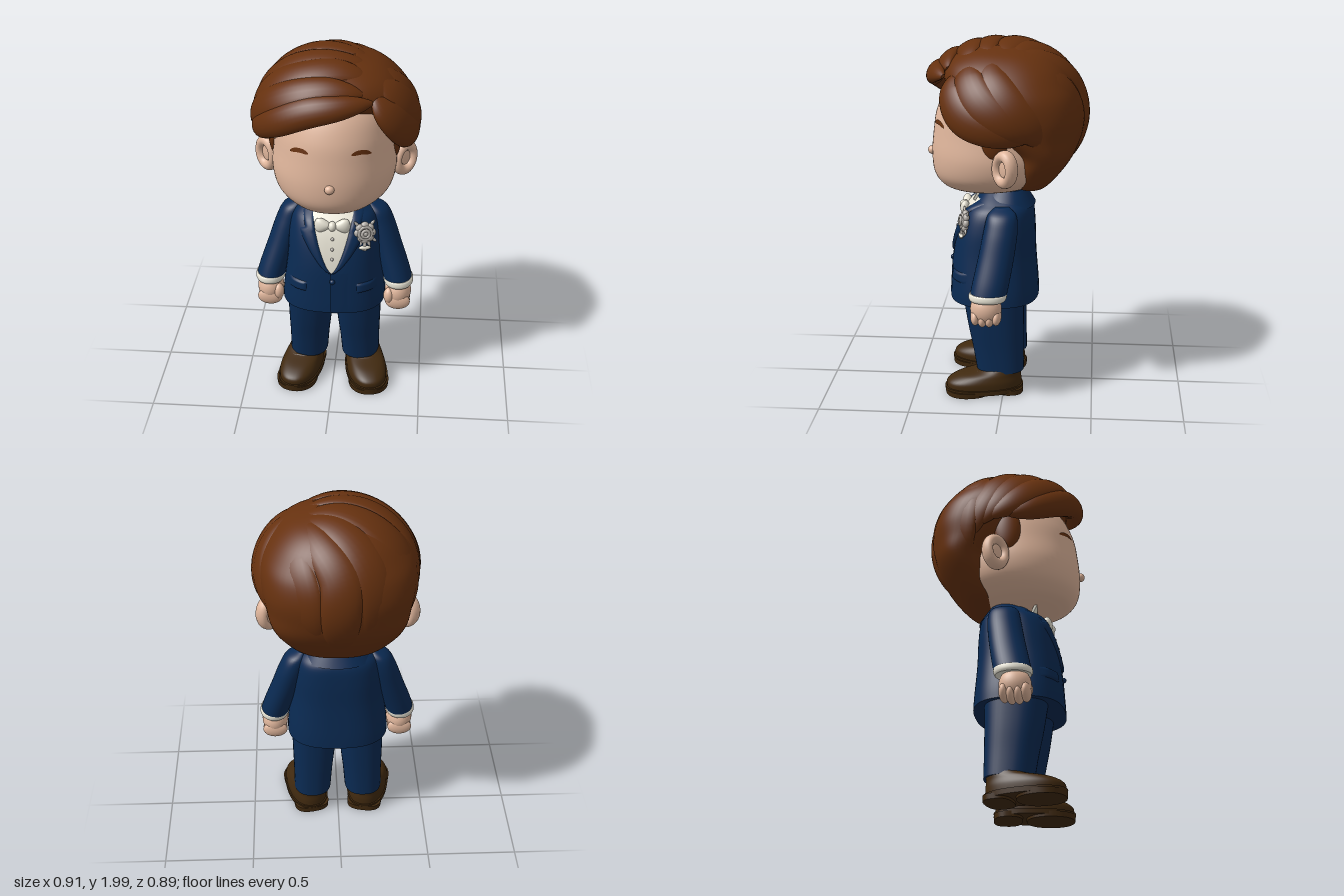
import * as THREE from 'three';

const material = (name, color) => Object.assign(new THREE.MeshStandardMaterial({ color }), { name });
const skin = material('skin', 0xe0b69c);
const hair = material('hair brown', 0x66310f);
const navy = material('suit navy', 0x0a2a52);
const white = material('shirt white', 0xe9e5d6);
const leather = material('shoe leather', 0x40290f);
const silver = material('silver', 0xb3aea8);
const black = material('eye black', 0x0b0b0b);

const V = (x, y, z) => new THREE.Vector3(x, y, z);

// Closed skin over rings of points, with separate caps so hems stay crisp
function skinRings(rings) {
  const n = rings[0].length, pos = [], idx = [];
  rings.forEach(r => r.forEach(p => pos.push(p.x, p.y, p.z)));
  for (let i = 0; i < rings.length - 1; i++) for (let j = 0; j < n; j++) {
    const a = i * n + j, b = i * n + (j + 1) % n, c = a + n, d = b + n;
    idx.push(a, b, c, b, d, c);
  }
  [rings[0], rings[rings.length - 1]].forEach((r, top) => {
    const base = pos.length / 3, mid = V(0, 0, 0);
    r.forEach(p => { pos.push(p.x, p.y, p.z); mid.addScaledVector(p, 1 / n); });
    pos.push(mid.x, mid.y, mid.z);
    for (let j = 0; j < n; j++) {
      const k = base + (j + 1) % n;
      top ? idx.push(base + n, base + j, k) : idx.push(base + n, k, base + j);
    }
  });
  const g = new THREE.BufferGeometry();
  g.setAttribute('position', new THREE.Float32BufferAttribute(pos, 3));
  g.setIndex(idx);
  g.computeVertexNormals();
  return g;
}

// Smooth loft upward through sections [y, centreX, centreZ, radiusX, radiusZ]
function loft(sections, p = 2, seg = 48, sub = 6) {
  const last = sections.length - 1, rings = [];
  const at = i => sections[Math.max(0, Math.min(last, i))];
  for (let s = 0; s <= last * sub; s++) {
    const i = Math.min(last - 1, Math.floor(s / sub)), t = s / sub - i;
    const [y, cx, cz, rx, rz] = at(i).map((b, k) => {
      const a = at(i - 1)[k], c = at(i + 1)[k], d = at(i + 2)[k];
      return b + 0.5 * t * (c - a + t * (2 * a - 5 * b + 4 * c - d + t * (3 * (b - c) + d - a)));
    });
    const bow = v => Math.sign(v) * Math.abs(v) ** (2 / p);
    rings.push(Array.from({ length: seg }, (_, j) => {
      const a = j / seg * Math.PI * 2;
      return V(cx + rx * bow(Math.cos(a)), y, cz - rz * bow(Math.sin(a)));
    }));
  }
  return skinRings(rings);
}

// Flattened, tapered lock of hair that follows the ellipsoid of the hairdo
const hairCentre = V(0, 1.58, 0), hairSize = V(0.44, 0.41, 0.44);
function lock(points, width, thick = 0.045, s0 = 0.93, s1 = 0.92) {
  const curve = new THREE.CatmullRomCurve3(points.map(p => V(...p))), n = 40, seg = 20;
  const path = Array.from({ length: n + 1 }, (_, i) => curve.getPoint(i / n).sub(hairCentre).divide(hairSize)
    .normalize().multiplyScalar(s0 + (s1 - s0) * i / n).multiply(hairSize).add(hairCentre));
  return skinRings(path.map((p, i) => {
    const T = path[Math.min(n, i + 1)].clone().sub(path[Math.max(0, i - 1)]).normalize();
    const N = p.clone().sub(hairCentre).divide(hairSize).divide(hairSize).normalize();
    N.addScaledVector(T, -N.dot(T)).normalize();
    const B = N.clone().cross(T), k = Math.max(0.02, Math.sin(Math.PI * i / n)) ** 0.5;
    return Array.from({ length: seg }, (_, j) => {
      const a = j / seg * Math.PI * 2;
      return p.clone().addScaledVector(B, width * k * Math.cos(a)).addScaledVector(N, thick * k * Math.sin(a));
    });
  }));
}

// Thin panel laid over the front of a mesh; at(u, v) gives x, y, lift(u, v) the height above it
const ray = new THREE.Raycaster();
function drape(target, at, lift, nu = 10, nv = 16) {
  const g = new THREE.PlaneGeometry(1, 1, nu, nv), P = g.attributes.position, U = g.attributes.uv;
  for (let i = 0; i < P.count; i++) {
    const u = U.getX(i), v = U.getY(i), [x, y] = at(u, v);
    ray.set(V(x, y, 3), V(0, 0, -1));
    const hit = ray.intersectObject(target)[0];
    P.setXYZ(i, x, y, (hit ? hit.point.z : 0.05) + lift(u, v));
  }
  g.computeVertexNormals();
  return g;
}
const lerp = THREE.MathUtils.lerp;
const puff = h => (u, v) => h * (1 - (2 * u - 1) ** 4) * (1 - (2 * v - 1) ** 8) - 0.002;
const flat = h => () => h;

export function createModel() {
  const root = new THREE.Group();
  const add = (name, geo, mat, pos = [0, 0, 0], scale = [1, 1, 1], parent = root) => {
    const m = new THREE.Mesh(geo, mat);
    m.name = name;
    m.position.set(...pos);
    m.scale.set(...scale);
    parent.add(m);
    return m;
  };
  const ball = new THREE.SphereGeometry(1, 32, 20);

  // Head and face
  const head = add('head', loft([[1.148, 0, 0.1, 0.1, 0.12], [1.17, 0, 0.1, 0.19, 0.21], [1.2, 0, 0.085, 0.25, 0.275],
    [1.26, 0, 0.06, 0.31, 0.335], [1.36, 0, 0.05, 0.335, 0.355], [1.48, 0, 0.045, 0.325, 0.35],
    [1.6, 0, 0.04, 0.312, 0.335], [1.72, 0, 0.03, 0.28, 0.29], [1.82, 0, 0.02, 0.19, 0.2], [1.85, 0, 0.02, 0.06, 0.06]], 2.05, 64), skin);
  add('nose', ball, skin, [0, 1.36, 0.408], [0.026, 0.024, 0.024]);
  for (const s of [-1, 1]) {
    add('eye', drape(head, (u, v) => {
      const a = u * Math.PI * 2;
      return [s * 0.155 + 0.045 * v * Math.cos(a), 1.41 + 0.064 * v * Math.sin(a)];
    }, flat(0.004), 32, 6), black);
    add('eyebrow', drape(head, (u, v) => {
      const w = s * (2 * u - 1);
      return [s * 0.16 + (u - 0.5) * 0.098, 1.552 - 0.012 * w * w - 0.005 * w + (v - 0.5) * 0.024 * (1 - 0.7 * w ** 4)];
    }, flat(0.006), 12, 3), hair);
    const ear = new THREE.Group();
    ear.name = 'ear';
    ear.position.set(s * 0.372, 1.357, -0.022);
    ear.rotation.set(0, s * 0.75, -s * 0.1);
    root.add(ear);
    add('earRim', new THREE.TorusGeometry(0.07, 0.032, 16, 36), skin, [0, 0, 0], [0.8, 1.02, 1.2], ear);
    add('earBowl', ball, skin, [0, 0, -0.012], [0.065, 0.085, 0.03], ear);
    add('sideburn', ball, hair, [s * 0.322, 1.52, 0.035], [0.036, 0.13, 0.075]);
  }

  // Hair: cap under overlapping locks that radiate from the parting
  add('hairCap', loft([[1.168, 0, -0.14, 0.1, 0.05], [1.2, 0, -0.145, 0.21, 0.1], [1.3, 0, -0.185, 0.3, 0.145],
    [1.4, 0, -0.215, 0.355, 0.175], [1.5, 0, -0.17, 0.385, 0.25], [1.6, 0, -0.14, 0.405, 0.29], [1.7, 0, -0.08, 0.41, 0.33],
    [1.78, 0, -0.02, 0.385, 0.35], [1.86, 0, 0, 0.32, 0.315], [1.92, 0, 0, 0.235, 0.235], [1.96, 0, 0, 0.12, 0.12]], 2.3, 64), hair);
  const locks = {
    fringe: [
      [[[.2, 1.8, .3], [.05, 1.82, .4], [-.12, 1.79, .4], [-.28, 1.7, .32], [-.39, 1.61, .18], [-.42, 1.57, .04]], .085, .06, 1.03, .93],
      [[[.16, 1.85, .3], [0, 1.88, .33], [-.18, 1.85, .32], [-.33, 1.75, .22], [-.42, 1.64, .08], [-.42, 1.56, -.06]], .1, .055, 1, .93],
      [[[.2, 1.9, .2], [.04, 1.94, .2], [-.15, 1.9, .2], [-.32, 1.8, .12], [-.42, 1.66, 0], [-.41, 1.53, -.12]], .105, .05, .95, .92],
      [[[.2, 1.93, .08], [0, 1.97, .1], [-.2, 1.9, .06], [-.36, 1.78, -.02], [-.43, 1.62, -.12], [-.38, 1.46, -.18]], .1]],
    backLock: [
      [[[.2, 1.93, 0], [0, 1.98, -.05], [-.2, 1.9, -.13], [-.35, 1.75, -.2], [-.38, 1.55, -.24], [-.28, 1.33, -.28], [-.1, 1.21, -.2]], .12],
      [[[.19, 1.93, -.04], [.02, 1.95, -.18], [-.14, 1.82, -.33], [-.21, 1.6, -.4], [-.15, 1.35, -.32], [-.06, 1.2, -.2]], .115],
      [[[.19, 1.93, -.05], [.1, 1.88, -.25], [0, 1.75, -.4], [0, 1.55, -.44], [0, 1.35, -.36], [0, 1.21, -.2]], .115, .05],
      [[[.2, 1.92, -.04], [.25, 1.83, -.25], [.21, 1.65, -.38], [.17, 1.4, -.35], [.06, 1.2, -.2]], .12],
      [[[.21, 1.91, -.01], [.35, 1.8, -.14], [.36, 1.6, -.27], [.28, 1.38, -.3], [.1, 1.21, -.2]], .12]],
    sideLock: [
      [[[.21, 1.82, .25], [.3, 1.75, .28], [.38, 1.63, .2], [.42, 1.56, .02], [.4, 1.53, -.18]], .1, .05, .96, .93],
      [[[.2, 1.88, .17], [.31, 1.82, .18], [.4, 1.7, .1], [.43, 1.6, -.06], [.38, 1.53, -.25]], .11, .05, .95, .94],
      [[[.2, 1.91, .06], [.34, 1.83, .05], [.42, 1.7, -.05], [.4, 1.57, -.2], [.3, 1.45, -.33]], .11, .05, .93, .93]],
  };
  for (const name in locks) locks[name].forEach(l => add(name, lock(...l), hair));

  // Jacket body, back collar and shirt neck
  const jacket = add('jacket', loft([[0.54, 0, 0.06, 0.288, 0.248], [0.62, 0, 0.06, 0.283, 0.244], [0.8, 0, 0.06, 0.26, 0.23],
    [0.95, 0, 0.047, 0.25, 0.212], [1.05, 0, 0.032, 0.23, 0.186], [1.1, 0, 0.02, 0.185, 0.143], [1.15, 0, 0.02, 0.115, 0.1]], 2.6, 64), navy);
  add('jacketCollar', loft([[1.07, 0, 0, 0.2, 0.165], [1.12, 0, -0.003, 0.165, 0.132], [1.162, 0, -0.01, 0.125, 0.1]], 2.2), navy);
  add('shirtNeck', loft([[1.08, 0, 0.02, 0.122, 0.12], [1.177, 0, 0.02, 0.112, 0.11]]), white);

  // Shirt front, its placket and studs
  const vEdge = y => 0.115 * Math.max(0, Math.min(1, (y - 0.785) / 0.33)) ** 0.62;
  add('shirtFront', drape(jacket, (u, v) => {
    const y = lerp(0.785, 1.115, v);
    return [(2 * u - 1) * vEdge(y), y];
  }, flat(0.004), 12, 20), white);
  add('placket', drape(jacket, (u, v) => [(u - 0.5) * 0.036, lerp(0.82, 1.05, v)], flat(0.009), 2, 12), white);
  const onJacket = (x, y) => {
    ray.set(V(x, y, 3), V(0, 0, -1));
    return [x, y, ray.intersectObject(jacket)[0].point.z];
  };
  for (const y of [0.87, 0.925, 0.98]) add('shirtStud', ball, silver, onJacket(0.003, y), [0.011, 0.011, 0.016]);

  // Bow tie
  const wing = new THREE.SphereGeometry(1, 28, 20), W = wing.attributes.position;
  for (let i = 0; i < W.count; i++) W.setY(i, W.getY(i) * (0.7 + 0.4 * W.getX(i)));
  wing.computeVertexNormals();
  for (const s of [-1, 1]) add('bowWing', wing, white, [s * 0.052, 1.047, 0.222], [0.046, 0.054, 0.028]).rotation.z = s < 0 ? Math.PI : 0;
  add('bowKnot', ball, white, [0, 1.047, 0.232], [0.022, 0.028, 0.028]);

  // Front edge, buttons
  add('frontEdge', drape(jacket, (u, v) => [lerp(-0.004, 0.09, u), lerp(0.545, 0.785, v)], u => 0.008 * (1 - u), 6, 12), navy);
  add('jacketButton', ball, navy, onJacket(0.006, 0.735), [0.016, 0.016, 0.018]);

  const wingShape = new THREE.Shape([[0.008, 0.005], [0.045, -0.045], [0.095, -0.035], [0.108, 0.03]].map(p => new THREE.Vector2(...p)));
  const collarWing = new THREE.ExtrudeGeometry(wingShape, { depth: 0.014, bevelEnabled: false });
  for (const s of [-1, 1]) {
    // Lapels, collar points and pocket flaps
    add('lapel', drape(jacket, (u, v) => {
      const y = lerp(0.77, 1.11, v), k = s > 0 ? u : 1 - u;
      const notch = v > 0.72 ? 0.055 : 0.088 * Math.min(1, v / 0.66) ** 0.8;
      return [s * (vEdge(y) - 0.004 + k * (notch + 0.006)), y];
    }, puff(0.017), 10, 28), navy);
    const point = add('collarPoint', collarWing, white, [0, 1.13, 0.145]);
    if (s < 0) { point.rotation.z = Math.PI; point.rotation.y = Math.PI; point.rotation.z = 0; point.position.z += 0.014; }
    point.rotation.x = s < 0 ? 0.5 : -0.5;
    add('pocketFlap', drape(jacket, (u, v) => [s * 0.192 + (u - 0.5) * 0.115, 0.69 + (v - 0.5) * 0.06], puff(0.014), 12, 8), navy);

    // Sleeve, cuff and hand
    add('sleeve', loft([[0.645, s * 0.361, 0.07, 0.08, 0.1], [0.72, s * 0.34, 0.055, 0.08, 0.1], [0.85, s * 0.297, 0.03, 0.078, 0.097],
      [0.98, s * 0.256, 0.01, 0.075, 0.092], [1.06, s * 0.23, 0.005, 0.06, 0.078], [1.095, s * 0.2, 0.005, 0.025, 0.04]], 2.1, 36), navy);
    add('cuff', loft([[0.622, s * 0.363, 0.073, 0.076, 0.096], [0.635, s * 0.363, 0.073, 0.083, 0.103],
      [0.655, s * 0.361, 0.071, 0.083, 0.103], [0.662, s * 0.36, 0.07, 0.078, 0.098]], 2.1, 36, 3), white);
    add('hand', ball, skin, [s * 0.362, 0.57, 0.082], [0.074, 0.088, 0.086]);
    for (let f = 0; f < 4; f++) add('finger', ball, skin, [s * 0.362, 0.528 - 0.012 * Math.sin(f), 0.025 + f * 0.038], [0.07, 0.05, 0.028]);
    add('thumb', ball, skin, [s * 0.312, 0.56, 0.135], [0.03, 0.048, 0.034]);

    // Trouser leg
    add('trouserLeg', loft([[0.13, s * 0.15, 0.02, 0.108, 0.133], [0.26, s * 0.145, 0.032, 0.114, 0.143],
      [0.4, s * 0.139, 0.046, 0.124, 0.157], [0.58, s * 0.132, 0.06, 0.134, 0.172]], 2.4, 40), navy);

    // Shoe
    const shoe = new THREE.Group();
    shoe.name = 'shoe';
    shoe.position.set(s * 0.166, 0, 0);
    shoe.rotation.y = s * 0.2;
    root.add(shoe);
    add('shoeUpper', loft([[0.035, 0, 0.112, 0.112, 0.212], [0.075, 0, 0.11, 0.112, 0.21], [0.108, 0, 0.082, 0.102, 0.178],
      [0.132, 0, 0.03, 0.092, 0.128], [0.152, 0, 0, 0.086, 0.1]], 2.3), leather, undefined, undefined, shoe);
    add('sole', loft([[0.014, 0, 0.113, 0.118, 0.219], [0.042, 0, 0.113, 0.12, 0.222]], 2.3), leather, undefined, undefined, shoe);
    add('forefoot', loft([[0, 0, 0.2, 0.114, 0.13], [0.03, 0, 0.2, 0.117, 0.133]], 2.2), leather, undefined, undefined, shoe);
    add('heel', loft([[0, 0, -0.03, 0.1, 0.077], [0.03, 0, -0.03, 0.102, 0.078]], 2.6), leather, undefined, undefined, shoe);
    [[0.15, 0.124], [0.19, 0.112]].forEach(([z, y]) => add('lace', ball, leather, [0, y, z], [0.055, 0.012, 0.012], shoe));
  }

  // Flower brooch with leaves and ribbon
  const flower = new THREE.Group();
  flower.name = 'buttonholeFlower';
  flower.position.set(...onJacket(0.172, 1.005));
  flower.rotation.set(-0.15, 0.3, 0);
  root.add(flower);
  for (let i = 0; i < 8; i++) {
    const a = i / 8 * Math.PI * 2;
    add('petal', ball, silver, [0.04 * Math.cos(a), 0.04 * Math.sin(a), 0.012], [0.023, 0.023, 0.018], flower);
  }
  [[0.036, 0.026], [0.02, 0.036]].forEach(([r, z]) => add('petalRing', new THREE.TorusGeometry(r, 0.009, 8, 24), silver, [0, 0, z], [1, 1, 1], flower));
  add('flowerCentre', ball, silver, [0, 0, 0.03], [0.016, 0.016, 0.016], flower);
  for (const a of [-2.4, -1.9, -1.2, -0.7, 2.3, 0.9]) {
    add('leaf', ball, silver, [0.066 * Math.cos(a), 0.066 * Math.sin(a), 0.01], [0.022, 0.009, 0.007], flower).rotation.z = a;
  }
  add('stem', new THREE.CylinderGeometry(0.009, 0.012, 0.05, 12), silver, [0, -0.075, 0.018], [1, 1, 1], flower);
  add('ribbon', ball, white, [0, -0.085, 0.02], [0.034, 0.012, 0.012], flower);
  return root;
}
